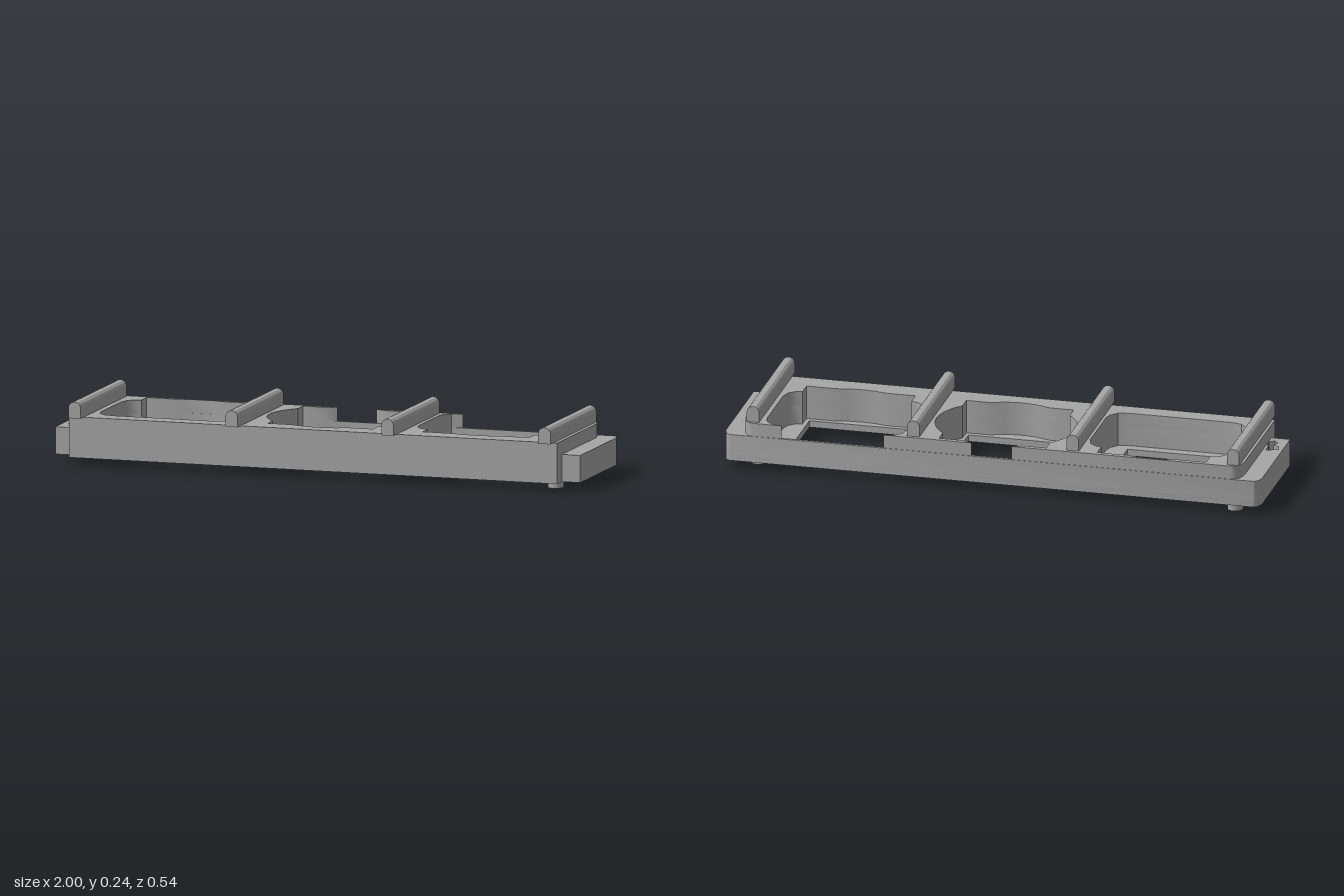
import * as THREE from 'three';
import { toCreasedNormals } from 'three/addons/utils/BufferGeometryUtils.js';

const grey = new THREE.MeshStandardMaterial({ color: 0xa6a6a6 });
grey.name = 'plain grey';

// Mirror half a ring in x, giving a full ring
const mirrored = (half) => [...half, ...half.map(([x, z]) => [-x, z]).reverse()];
const shift = (pts, cx) => pts.map(([x, z]) => [x + cx, z]);
const toVec = (pts) => pts.map(([x, z]) => new THREE.Vector2(x, -z));

// Flat slab between two heights from [x, z] outlines
function slab(name, outline, holes, y0, y1) {
  const shape = new THREE.Shape(toVec(outline));
  for (const h of holes) shape.holes.push(new THREE.Path(toVec(h)));
  const geo = new THREE.ExtrudeGeometry(shape, { depth: y1 - y0, bevelEnabled: false });
  geo.rotateX(-Math.PI / 2).translate(0, y0, 0);
  const mesh = new THREE.Mesh(toCreasedNormals(geo, 0.6), grey);
  mesh.name = name;
  return mesh;
}

// Quarter ellipse corner at the back right, from the side to the back
function corner(x, z, rx, rz, n = 6) {
  const pts = [];
  for (let i = 0; i <= n; i++) {
    const a = (i / n) * Math.PI / 2;
    pts.push([x - rx + rx * Math.cos(a), z + rz - rz * Math.sin(a)]);
  }
  return pts;
}

export function createModel() {
  const model = new THREE.Group();
  const pitch = 0.593;

  // Outer outline of the lower base, wider at the ends
  const baseOutline = mirrored([[0.93, 0.235], [0.93, 0.18], [1, 0.18], ...corner(1, -0.27, 0.025, 0.05)]);

  // Pocket rings: rounded bay with a narrow shoulder, and an oval over a square
  const bay = [[0, -0.262], [0.05, -0.26], [0.09, -0.25], [0.203, -0.25], [0.203, -0.19],
    [0.228, -0.184], [0.25, -0.165], [0.26, -0.13], [0.26, 0.1], [0.253, 0.132],
    [0.23, 0.158], [0.19, 0.167]];
  const flipped = bay.map(([x, z]) => [x, -0.1 - z]).reverse();
  const oval = [[0.075, -0.267], [0.11, -0.25], [0.2, -0.25]];
  for (let i = 0; i <= 12; i++) {
    const a = -0.693 + (1.386 * i) / 12;
    oval.push([0.26 * Math.cos(a), -0.05 + 0.225 * Math.sin(a)]);
  }
  oval.push([0.2, 0.15], [0.11, 0.15], [0.06, 0.168], [0.015, 0.174]);
  const closedBay = shift(mirrored(bay.slice(1)), -pitch);
  const openBay = shift([...flipped, ...flipped.slice(0, -1).map(([x, z]) => [-x, z]).reverse()], pitch);
  const openOval = mirrored(oval);
  const clamp = (pts) => pts.map(([x, z]) => [x, Math.max(z, -0.259)]);

  // Through windows in the floor
  const windows = [-pitch, 0, pitch].map((cx) =>
    shift([[-0.187, -0.235], [0.187, -0.235], [0.187, 0.13], [-0.187, 0.13]], cx));

  // Irregular slot through the end ledge
  const slot = [[-0.985, 0.07], [-0.965, 0.062], [-0.942, 0.052], [-0.94, 0.095], [-0.932, 0.11],
    [-0.932, 0.138], [-0.95, 0.15], [-0.966, 0.135], [-0.955, 0.112], [-0.978, 0.095]];

  model.add(slab('floor', baseOutline, [...windows, slot], 0.03, 0.055));
  model.add(slab('lowerWalls', baseOutline,
    [closedBay, openOval, openBay].map(clamp).concat([slot]), 0.055, 0.13));

  // Upper body: two pockets break through its back edge
  const back = corner(0.93, -0.268, 0.04, 0.06);
  const upper = [[0.93, 0.235], ...back,
    [pitch + 0.19, -0.268], ...openBay, [pitch - 0.19, -0.268],
    [0.075, -0.268], ...openOval, [-0.075, -0.268],
    ...back.map(([x, z]) => [-x, z]).reverse(), [-0.93, 0.235]];
  model.add(slab('upperBody', upper, [closedBay], 0.13, 0.18));

  // Round-topped rails laid across the body
  const r = 0.023;
  const railShape = new THREE.Shape();
  railShape.moveTo(-r, 0.18).lineTo(r, 0.18).lineTo(r, 0.24 - r);
  railShape.absarc(0, 0.24 - r, r, 0, Math.PI, false);
  const railGeo = toCreasedNormals(new THREE.ExtrudeGeometry(railShape,
    { depth: 0.525, bevelEnabled: false, curveSegments: 16 }).translate(0, 0, -0.255), 0.6);
  for (const x of [-0.897, -0.299, 0.295, 0.893]) {
    const rail = new THREE.Mesh(railGeo, grey);
    rail.name = 'rail';
    rail.position.x = x;
    model.add(rail);
  }

  // Round feet, staggered differently at each end
  const footGeo = new THREE.CylinderGeometry(0.029, 0.029, 0.035, 24);
  for (const [x, z] of [[0.89, 0.13], [0.89, -0.18], [-0.897, 0.035], [-0.897, -0.22]]) {
    const foot = new THREE.Mesh(footGeo, grey);
    foot.name = 'foot';
    foot.position.set(x, 0.0175, z);
    model.add(foot);
  }
  return model;
}
